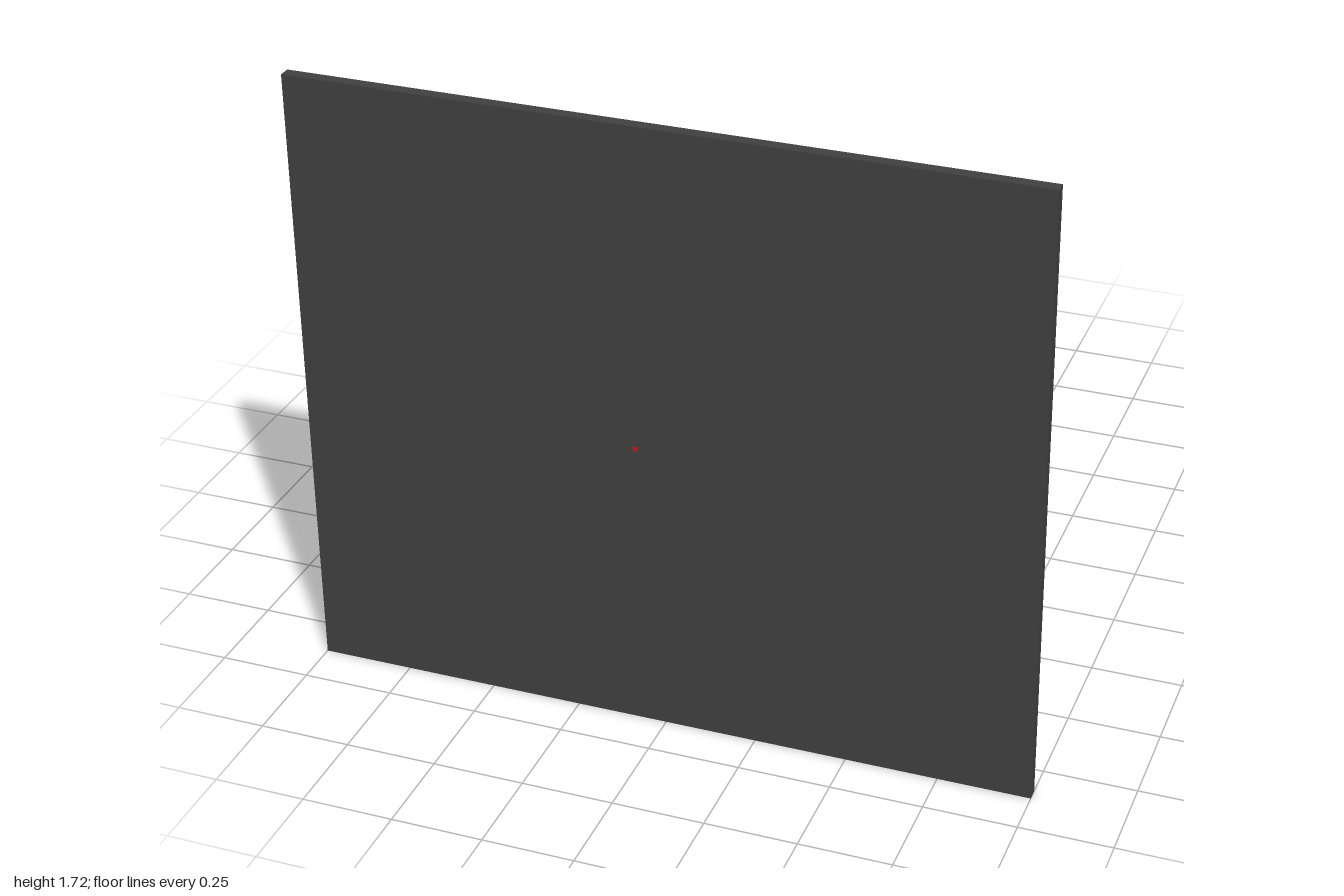
import * as THREE from 'three';

const paint = (color, side = THREE.FrontSide) => new THREE.MeshStandardMaterial({ color, side });

export function createModel() {
  const root = new THREE.Group();
  const dark = paint(0x404040), red = paint(0xcc1414), yellow = paint(0xc8c822);
  const grey = paint(0x999988), blue = paint(0x22228a);

  const box = (parent, name, mat, size, pos) => {
    const mesh = new THREE.Mesh(new THREE.BoxGeometry(...size), mat);
    mesh.position.set(...pos);
    mesh.name = name;
    parent.add(mesh);
  };

  // Large upright panel
  box(root, 'panel', dark, [2, 1.72, 0.033], [0, 0.86, 0.857]);

  // Fluted bowl, closed towards the panel and open to the back
  const profile = [[0, 0], [0.08, 0], [0.125, 0.006], [0.15, 0.02], [0.168, 0.045], [0.185, 0.083]]
    .map(([r, h]) => new THREE.Vector2(r, h));
  const bowlGeo = new THREE.LatheGeometry(profile, 96);
  const p = bowlGeo.attributes.position;
  for (let i = 0; i < p.count; i++) {
    const x = p.getX(i), z = p.getZ(i), r = Math.hypot(x, z);
    const k = 1 - 0.035 * (r / 0.185) * (0.5 + 0.5 * Math.cos(24 * Math.atan2(z, x)));
    p.setX(i, x * k);
    p.setZ(i, z * k);
  }
  bowlGeo.computeVertexNormals();
  const bowl = new THREE.Mesh(bowlGeo, paint(0xaaaaaa, THREE.DoubleSide));
  bowl.name = 'bowl';
  bowl.rotation.x = -Math.PI / 2;
  bowl.position.set(0, 0.828, 0.82);
  root.add(bowl);

  // Small cross of thin offset blades
  const addCross = (parent, upper, lower) => {
    box(parent, 'upperBlade', upper, [0.006, 0.042, 0.006], [0, 0.019, -0.004]);
    box(parent, 'lowerBlade', lower, [0.006, 0.06, 0.006], [0, -0.01, 0.003]);
    box(parent, 'leftBlade', grey, [0.045, 0.006, 0.006], [0.014, 0, -0.004]);
    box(parent, 'rightBlade', yellow, [0.05, 0.006, 0.006], [-0.012, 0, 0.003]);
  };

  // Bundles of long rods, each carrying a cross
  const bundles = [
    [0, 0.92, 0.26], [0.01, 0.72, 0.29], [0.03, 0.75, 0.31], [0.07, 0.91, 0.35], [0.07, 0.74, 0.39],
    [-0.09, 0.88, 0.39], [-0.07, 0.90, 0.45], [0.12, 0.88, 0.47], [-0.06, 0.755, 0.42], [0.11, 0.76, 0.42],
    [-0.05, 0.82, 0.48], [0.12, 0.82, 0.53], [-0.1, 0.815, 0.59],
  ];
  for (const [x, y, z] of bundles) {
    const g = new THREE.Group();
    g.name = 'rodBundle';
    g.position.set(x, y, z);
    box(g, 'redRod', red, [0.012, 0.012, 0.54], [0.03, 0.008, 0.015]);
    box(g, 'greyRod', grey, [0.012, 0.01, 0.54], [0, -0.003, -0.035]);
    box(g, 'yellowRod', yellow, [0.014, 0.012, 0.54], [-0.03, -0.012, 0.01]);
    addCross(g, red, yellow);
    root.add(g);
  }

  // Loose crosses trailing behind
  const loose = [
    [0.07, 0.80, -0.88], [-0.05, 0.77, -0.815], [-0.09, 0.85, -0.72], [0.11, 0.88, -0.67],
    [-0.11, 0.94, -0.635], [0.01, 0.68, -0.635], [-0.05, 0.99, -0.555], [0.06, 0.95, -0.505],
    [0.04, 0.91, -0.395], [-0.09, 0.76, -0.34], [-0.05, 0.91, -0.26], [0.12, 0.71, -0.205],
    [0.12, 0.83, -0.075],
  ];
  for (const pos of loose) {
    const g = new THREE.Group();
    g.name = 'looseCross';
    g.position.set(...pos);
    addCross(g, red, blue);
    root.add(g);
  }
  return root;
}
